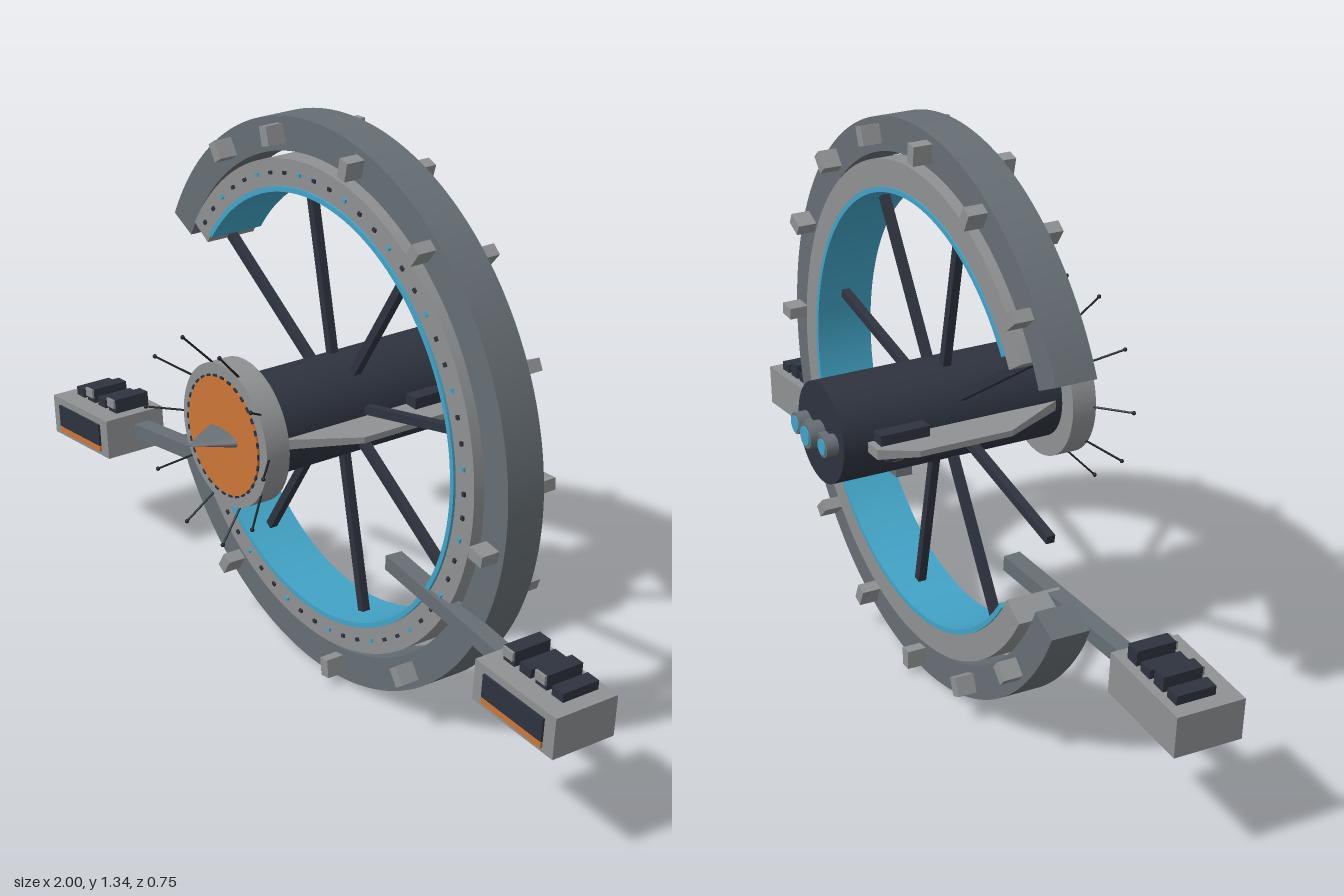
import * as THREE from 'three';
import { toCreasedNormals } from 'three/addons/utils/BufferGeometryUtils.js';

const CY = 0.672; // height of the wheel axis
const rad = (deg) => deg * Math.PI / 180;

function makeMaterials() {
  const colours = { steel: 0x666e74, lightGrey: 0x8f9192, navy: 0x2e333f, blue: 0x42a3c6, orange: 0xcb7537, black: 0x1c1f26 };
  const out = {};
  for (const [name, color] of Object.entries(colours)) {
    out[name] = new THREE.MeshStandardMaterial({ color });
    out[name].name = name;
  }
  return out;
}

function add(parent, name, geometry, material, x = 0, y = 0, z = 0) {
  const mesh = new THREE.Mesh(geometry, material);
  mesh.name = name;
  mesh.position.set(x, y, z);
  parent.add(mesh);
  return mesh;
}

const box = (w, h, d) => new THREE.BoxGeometry(w, h, d);

// Cylinder lying along z
const drum = (r, depth, sides = 48) => new THREE.CylinderGeometry(r, r, depth, sides).rotateX(Math.PI / 2);

// Open ring with a gap on the -x side, spanning z0..z1
function arcRing(inner, outer, z0, z1, openAngle) {
  const shape = new THREE.Shape();
  shape.absarc(0, 0, outer, -rad(openAngle), rad(openAngle), false);
  shape.absarc(0, 0, inner, rad(openAngle), -rad(openAngle), true);
  const g = new THREE.ExtrudeGeometry(shape, { depth: z1 - z0, bevelEnabled: false, curveSegments: 96 });
  return toCreasedNormals(g.translate(0, 0, z0), 0.5);
}

// Places a mesh at a polar position, its x axis pointing outwards
function addPolar(parent, name, geometry, material, r, deg, z) {
  const a = rad(deg);
  const mesh = add(parent, name, geometry, material, Math.cos(a) * r, Math.sin(a) * r, z);
  mesh.rotation.z = a;
  return mesh;
}

// Thin rod between two points
function addRod(parent, name, from, to, radius, material, sides = 8) {
  const dir = new THREE.Vector3().subVectors(to, from);
  const mesh = add(parent, name, new THREE.CylinderGeometry(radius, radius, dir.length(), sides), material);
  mesh.position.copy(from).addScaledVector(dir, 0.5);
  mesh.quaternion.setFromUnitVectors(new THREE.Vector3(0, 1, 0), dir.normalize());
  return mesh;
}

function buildWheel(m) {
  const wheel = new THREE.Group();
  wheel.name = 'wheel';
  add(wheel, 'outerRing', arcRing(0.592, 0.671, -0.083, 0.014, 154), m.steel);
  add(wheel, 'innerRing', arcRing(0.514, 0.578, -0.1, 0.03, 148), m.lightGrey);
  add(wheel, 'ringLining', arcRing(0.503, 0.515, -0.104, 0.036, 144.5), m.blue);

  // Posts on both faces of the outer ring
  const post = box(0.045, 0.028, 0.05);
  for (let k = -6; k <= 6; k++) addPolar(wheel, 'backPost', post, m.lightGrey, 0.632, 2 + 23 * k, -0.104);
  for (const deg of [124, 104, 77, 52, -10, -56, -83, -123]) addPolar(wheel, 'frontPost', post, m.lightGrey, 0.632, deg, 0.035);

  // Small windows along the inner ring
  const pane = box(0.008, 0.01, 0.006);
  for (let i = 0; i < 49; i++) addPolar(wheel, 'ringWindow', pane, i % 3 === 1 ? m.blue : m.navy, 0.546, -144 + i * 6, 0.032);

  // Spokes
  for (let i = 0; i < 8; i++) addPolar(wheel, 'spoke', box(0.42, 0.02, 0.02), m.navy, 0.31, 11.9 + 45 * i, -0.035);
  return wheel;
}

function buildHub(m) {
  const hub = new THREE.Group();
  hub.name = 'hub';
  add(hub, 'hubBody', drum(0.118, 0.555), m.navy, 0, 0, -0.057);
  add(hub, 'frontDisc', drum(0.167, 0.06, 64), m.lightGrey, 0, 0, 0.247);
  add(hub, 'frontFace', drum(0.138, 0.006, 64), m.orange, 0, 0, 0.279);
  for (let i = 0; i < 32; i++) addPolar(hub, 'faceMark', box(0.005, 0.012, 0.004), m.navy, 0.14, i * 11.25, 0.282);

  // Flattened nose
  const nose = new THREE.ConeGeometry(0.06, 0.095, 24).rotateX(Math.PI / 2).scale(1, 0.3, 1);
  add(hub, 'nose', nose, m.steel, 0, 0, 0.328);

  // Antennae flaring forward from the disc
  for (let i = 0; i < 10; i++) {
    const c = Math.cos(rad(36 * i)), s = Math.sin(rad(36 * i));
    const tip = new THREE.Vector3(c * 0.237, s * 0.237, 0.335);
    addRod(hub, 'antenna', new THREE.Vector3(c * 0.155, s * 0.155, 0.262), tip, 0.0025, m.black, 6);
    add(hub, 'antennaTip', new THREE.SphereGeometry(0.005, 8, 6), m.black, tip.x, tip.y, tip.z);
  }

  // Rear thrusters
  add(hub, 'thrusterBar', box(0.17, 0.03, 0.02), m.steel, 0, 0, -0.343);
  for (const [x, r, depth] of [[-0.07, 0.025, 0.03], [0, 0.03, 0.038], [0.07, 0.025, 0.03]]) {
    add(hub, 'thruster', drum(r, depth, 16), m.steel, x, 0, -0.334 - depth / 2);
    add(hub, 'thrusterGlow', drum(r * 0.75, 0.004, 16), m.blue, x, 0, -0.335 - depth);
  }

  // Side fins with equipment above and lamps below
  for (const s of [1, -1]) {
    const outline = [[0.1, 0.2], [0.118, 0.2], [0.203, 0.04], [0.203, -0.19], [0.163, -0.275], [0.1, -0.275]];
    const shape = new THREE.Shape(outline.map(([x, z]) => new THREE.Vector2(s * x, z)));
    const fin = new THREE.ExtrudeGeometry(shape, { depth: 0.024, bevelEnabled: false }).rotateX(Math.PI / 2);
    // Thin the plate towards its ends
    const p = fin.attributes.position;
    for (let i = 0; i < p.count; i++) {
      const taper = Math.abs(p.getX(i)) > 0.19 ? 0.6 : 1;
      p.setY(i, (p.getY(i) + 0.012) * taper);
    }
    fin.computeVertexNormals();
    add(hub, 'sideFin', fin, m.lightGrey);
    add(hub, 'finEquipment', box(0.035, 0.03, 0.12), m.navy, s * 0.135, 0.022, -0.2);
    add(hub, 'finUnderside', box(0.03, 0.016, 0.16), m.navy, s * 0.145, -0.018, -0.17);
    for (let i = 0; i < 3; i++) add(hub, 'finLamp', box(0.016, 0.006, 0.025), m.orange, s * 0.145, -0.028, -0.13 - i * 0.045);
  }
  return hub;
}

// Arm with a cabin at its end; s is +1 for left, -1 for right
function buildArm(m, s) {
  const arm = new THREE.Group();
  arm.name = s > 0 ? 'leftArm' : 'rightArm';
  const beam = add(arm, 'armBeam', box(0.5, 0.036, 0.042), m.steel, s * 0.515, 0.372, 0.026);
  beam.rotation.set(0, -s * 0.084, -s * 0.075);

  const cabin = new THREE.Group();
  cabin.name = 'cabin';
  cabin.position.set(s * 0.865, 0.341, 0.064);
  cabin.rotation.z = -s * 0.075;
  arm.add(cabin);
  add(cabin, 'cabinBody', box(0.262, 0.1, 0.165), m.lightGrey);
  add(cabin, 'cabinWindow', box(0.195, 0.056, 0.008), m.navy, 0, 0.004, 0.084);
  add(cabin, 'cabinStripe', box(0.195, 0.014, 0.008), m.orange, 0, -0.032, 0.084);

  // Roof units, alternately low and tall
  for (let i = 0; i < 4; i++) {
    const tall = i % 2 === 1, h = tall ? 0.036 : 0.022, x = -0.075 + i * 0.052;
    add(cabin, 'roofUnit', box(0.036, h, 0.095), m.navy, -s * x, 0.05 + h / 2, -0.014);
    if (tall) add(cabin, 'roofUnitFront', box(0.032, 0.022, 0.006), m.lightGrey, -s * x, 0.074, 0.036);
  }
  return arm;
}

export function createModel() {
  const model = new THREE.Group();
  model.name = 'spaceStation';
  const m = makeMaterials();
  for (const part of [buildWheel(m), buildHub(m)]) {
    part.position.y = CY;
    model.add(part);
  }
  model.add(buildArm(m, 1), buildArm(m, -1));
  return model;
}
